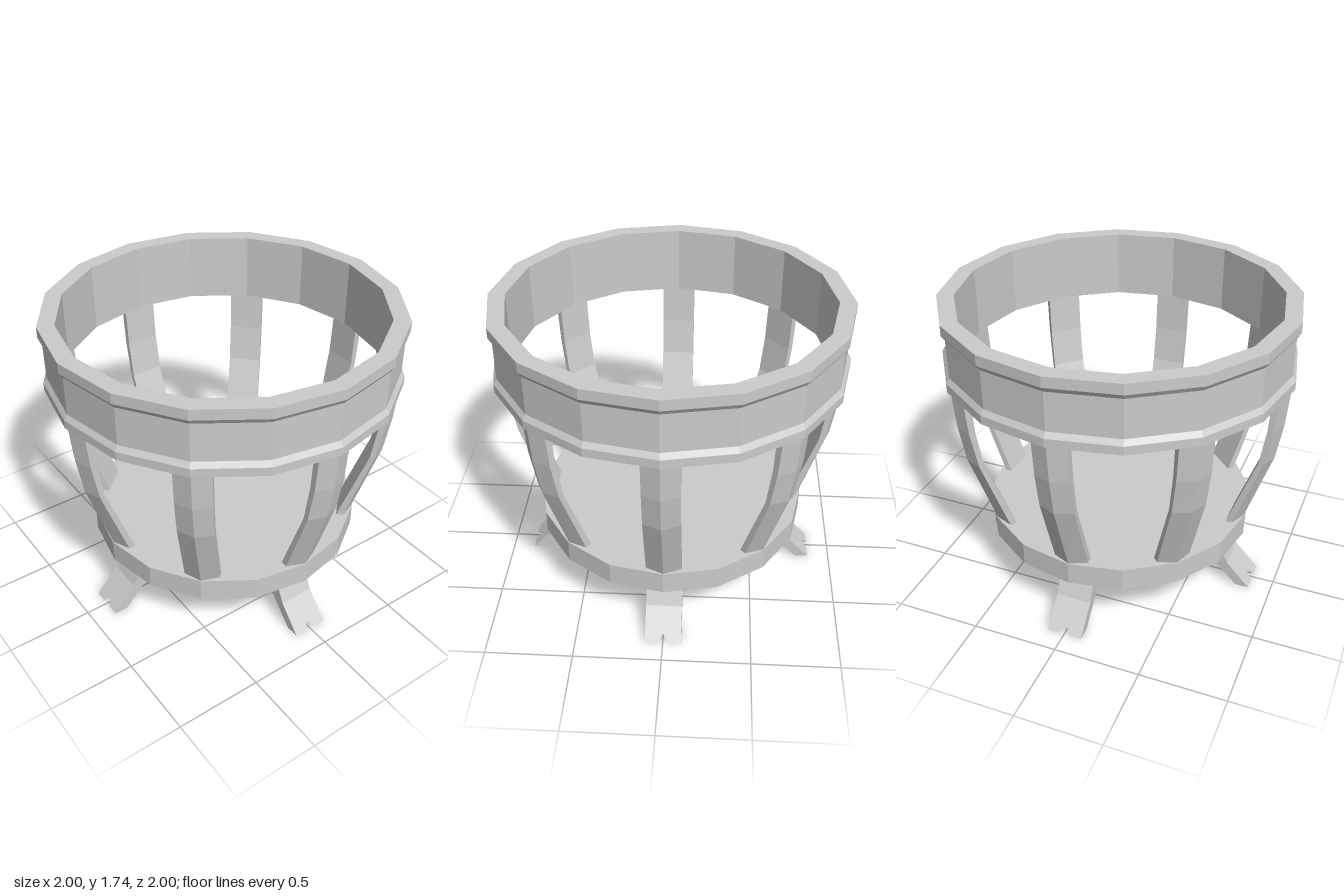
import * as THREE from 'three';

const material = new THREE.MeshStandardMaterial({ color: 0xcccccc, flatShading: true });

// Joins side profiles across the width. Each column is { x, outer, inner },
// with outer and inner as [radius, height] points listed from bottom to top.
function loft(columns) {
  const n = columns[0].outer.length * 2;
  const vertices = [];
  const index = [];
  for (const { x, outer, inner } of columns) {
    for (const [r, y] of [...outer, ...[...inner].reverse()]) vertices.push(x, y, r);
  }
  const quad = (a, b, c, d) => index.push(a, b, c, a, c, d);
  for (let c = 0; c < columns.length - 1; c++) {
    for (let i = 0; i < n; i++) {
      const j = (i + 1) % n;
      quad(c * n + i, (c + 1) * n + i, (c + 1) * n + j, c * n + j);
    }
  }
  // Flat sides, closed in strips between the outer and inner lines
  const last = (columns.length - 1) * n;
  for (let i = 0; i < n / 2 - 1; i++) {
    quad(i, i + 1, n - 2 - i, n - 1 - i);
    quad(last + n - 1 - i, last + n - 2 - i, last + i + 1, last + i);
  }
  const geometry = new THREE.BufferGeometry();
  geometry.setAttribute('position', new THREE.Float32BufferAttribute(vertices, 3));
  geometry.setIndex(index);
  const flat = geometry.toNonIndexed();
  flat.computeVertexNormals();
  return flat;
}

export function createModel() {
  const model = new THREE.Group();
  model.name = 'basketStand';

  function add(name, geometry, angle = 0) {
    const mesh = new THREE.Mesh(geometry, material);
    mesh.name = name;
    mesh.rotation.y = angle;
    model.add(mesh);
    return mesh;
  }

  // Top hoop with a raised lip above and below
  const hoop = [
    [0.905, 1.35], [1, 1.35], [1, 1.4], [0.98, 1.43], [0.98, 1.65],
    [1, 1.68], [1, 1.74], [0.905, 1.74], [0.905, 1.35],
  ].map(([r, y]) => new THREE.Vector2(r, y));
  add('hoop', new THREE.LatheGeometry(hoop, 16));

  // Base disc
  add('base', new THREE.CylinderGeometry(0.79, 0.79, 0.135, 16)).position.y = 0.3875;

  // Eight bowed staves with a ridge down the outside
  const ridge = [[0.78, 0.44], [0.93, 0.9], [0.965, 1.12], [0.983, 1.36]];
  const edge = [[0.735, 0.44], [0.89, 0.9], [0.928, 1.12], [0.947, 1.36]];
  const back = [[0.695, 0.44], [0.86, 0.9], [0.893, 1.12], [0.907, 1.36]];
  const stave = loft([
    { x: -0.1, outer: edge, inner: back },
    { x: 0, outer: ridge, inner: back },
    { x: 0.1, outer: edge, inner: back },
  ]);
  for (let i = 0; i < 8; i++) add('stave' + (i + 1), stave, (i * Math.PI) / 4);

  // Four splayed feet, each with a small notch in the toe
  const side = {
    outer: [[0.87, 0], [0.73, 0.15], [0.64, 0.34]],
    inner: [[0.79, 0], [0.655, 0.138], [0.555, 0.34]],
  };
  const notch = {
    outer: [[0.837, 0.035], ...side.outer.slice(1)],
    inner: [[0.772, 0.018], ...side.inner.slice(1)],
  };
  const foot = loft([
    { x: -0.103, ...side },
    { x: -0.033, ...side },
    { x: 0, ...notch },
    { x: 0.033, ...side },
    { x: 0.103, ...side },
  ]);
  for (let i = 0; i < 4; i++) add('foot' + (i + 1), foot, (i * Math.PI) / 2);

  return model;
}
